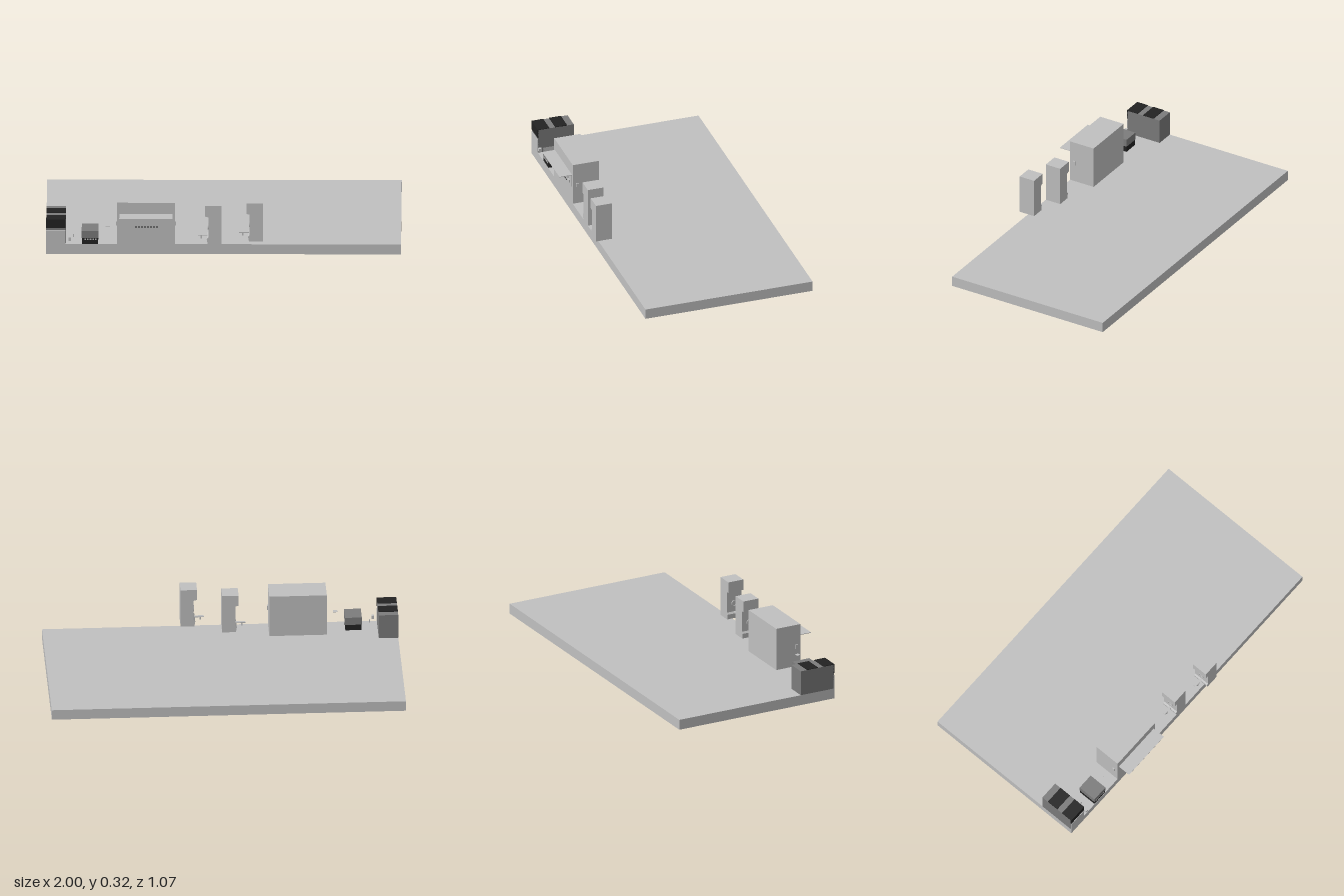
import * as THREE from 'three';

const mat = (name, color) => {
  const m = new THREE.MeshStandardMaterial({ color });
  m.name = name;
  return m;
};

export function createModel() {
  const root = new THREE.Group();
  const light = mat('lightGrey', 0xc0c0c0);
  const grey = mat('midGrey', 0x7c7c7c);
  const black = mat('nearBlack', 0x222222);

  // Box given by its extents on each axis
  const box = (name, m, [x0, x1], [y0, y1], [z0, z1], parent = root) => {
    const mesh = new THREE.Mesh(new THREE.BoxGeometry(x1 - x0, y1 - y0, z1 - z0), m);
    mesh.position.set((x0 + x1) / 2, (y0 + y1) / 2, (z0 + z1) / 2);
    mesh.name = name;
    parent.add(mesh);
    return mesh;
  };

  // Floor slab
  box('floorSlab', light, [-1, 1], [0, 0.06], [-0.535, 0.46]);

  // Striped corner block with a light lower front
  box('cornerBlock', grey, [-1, -0.89], [0.06, 0.205], [0.245, 0.457]);
  box('cornerBlockLowerFront', light, [-1, -0.89], [0.06, 0.142], [0.456, 0.46]);
  box('cornerBlockUpperFront', black, [-1, -0.89], [0.155, 0.208], [0.454, 0.46]);
  for (const z of [[0.285, 0.355], [0.39, 0.46]])
    box('cornerBlockTopStripe', black, [-1, -0.89], [0.204, 0.208], z);
  box('cornerBlockHandle', light, [-0.875, -0.86], [0.08, 0.1], [0.445, 0.462]);
  box('cornerBlockKnob', light, [-0.85, -0.843], [0.08, 0.1], [0.4, 0.406]);

  // Small cabinet: grey top over a black base with a row of light keys
  box('smallCabinetTop', grey, [-0.8, -0.705], [0.095, 0.14], [0.35, 0.46]);
  box('smallCabinetBase', black, [-0.798, -0.707], [0.06, 0.095], [0.352, 0.458]);
  for (let i = 0; i < 5; i++) {
    const x = -0.785 + i * 0.015;
    box('smallCabinetKey', light, [x, x + 0.009], [0.085, 0.092], [0.457, 0.46]);
  }

  // Kiosk with serving window, flat awning and counter details
  box('kioskBody', light, [-0.6, -0.275], [0.06, 0.31], [0.305, 0.46]);
  box('kioskWindow', light, [-0.588, -0.287], [0.165, 0.24], [0.459, 0.462]);
  box('kioskAwning', light, [-0.588, -0.287], [0.238, 0.241], [0.46, 0.535]);
  for (let i = 0; i < 8; i++) {
    const x = -0.5 + i * 0.017;
    box('counterMark', black, [x, x + 0.011], [0.163, 0.168], [0.46, 0.464]);
  }
  box('counterTap', light, [-0.385, -0.34], [0.215, 0.225], [0.46, 0.468]);
  box('counterTapStem', light, [-0.355, -0.345], [0.175, 0.215], [0.46, 0.468]);
  box('counterTapSpout', light, [-0.345, -0.32], [0.175, 0.19], [0.46, 0.468]);
  for (const x of [[-0.606, -0.6], [-0.275, -0.269]])
    box('kioskSideHandle', light, x, [0.165, 0.19], [0.425, 0.44]);
  box('kioskSideShelf', light, [-0.665, -0.64], [0.149, 0.152], [0.405, 0.425]);

  // Upright dispenser facing -x, extruded from its side profile
  const dispenser = (dx, dy, dz) => {
    const g = new THREE.Group();
    g.name = 'dispenser';
    const profile = [[-0.09, 0.06], [-0.012, 0.06], [-0.012, 0.29], [-0.105, 0.29],
      [-0.105, 0.227], [-0.086, 0.222], [-0.086, 0.1], [-0.095, 0.09]];
    const shape = new THREE.Shape(profile.map(p => new THREE.Vector2(...p)));
    const body = new THREE.Mesh(
      new THREE.ExtrudeGeometry(shape, { depth: 0.095, bevelEnabled: false }), light);
    body.position.z = 0.365;
    body.name = 'dispenserBody';
    g.add(body);
    const ring = new THREE.Mesh(new THREE.TorusGeometry(0.016, 0.003, 6, 16), light);
    ring.rotation.y = Math.PI / 2;
    ring.position.set(-0.087, 0.15, 0.4125);
    ring.name = 'dispenserRing';
    g.add(ring);
    box('dispenserArm', light, [-0.145, -0.09], [0.096, 0.101], [0.405, 0.42], g);
    box('dispenserSpout', light, [-0.13, -0.122], [0.08, 0.101], [0.405, 0.42], g);
    g.position.set(dx, dy, dz);
    root.add(g);
  };
  dispenser(0, 0, 0);
  dispenser(0.233, 0.028, 0.03);

  return root;
}
